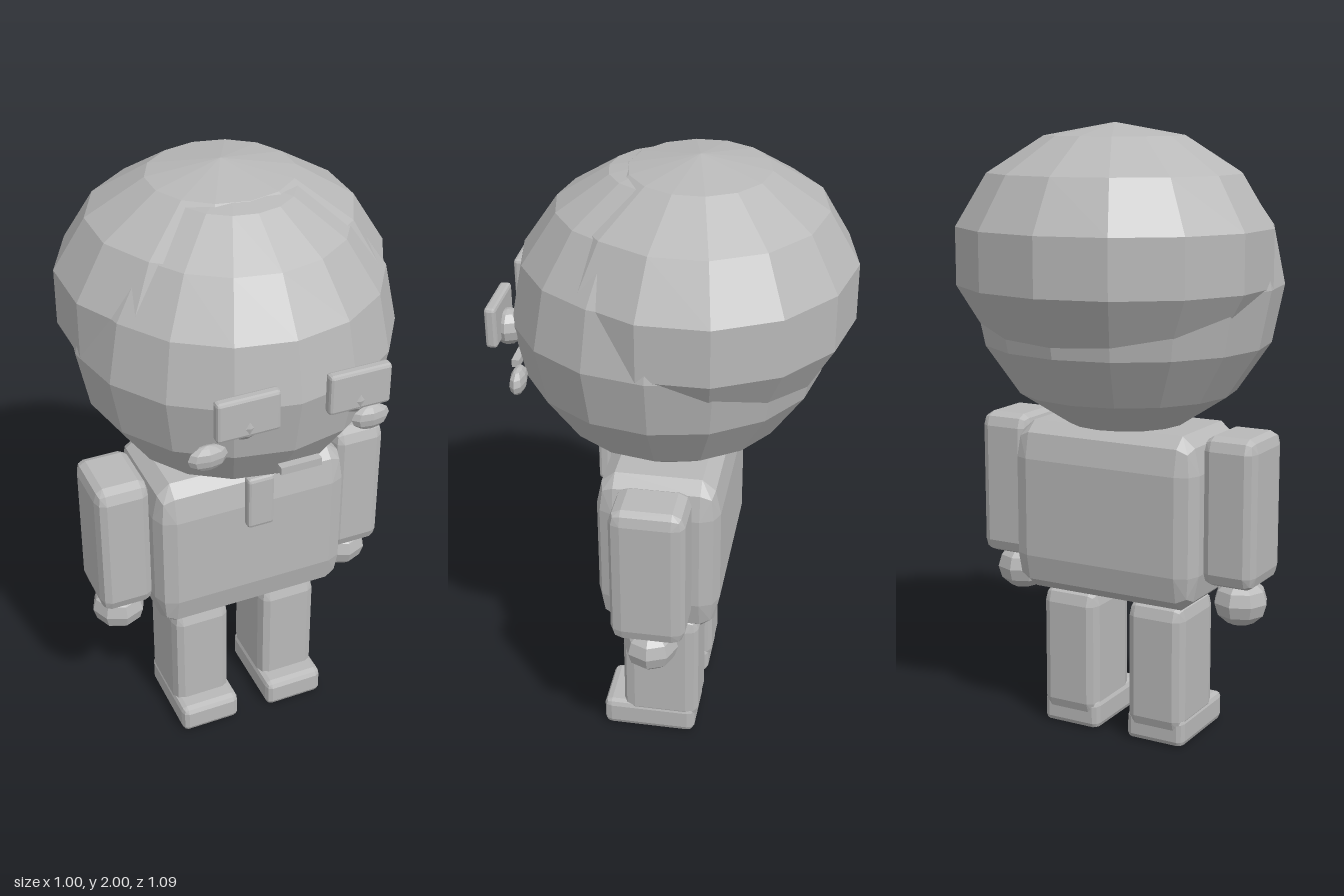
import * as THREE from 'three';
import { ConvexGeometry } from 'three/addons/geometries/ConvexGeometry.js';

const grey = new THREE.MeshStandardMaterial({ color: 0xb8b8b8 });
grey.name = 'plain grey';

// Box spanning min..max on each axis, edges rounded in two flat steps
// by a separate radius per axis.
function softBox([x0, x1], [y0, y1], [z0, z1], [rx, ry, rz]) {
  const h = [(x1 - x0) / 2, (y1 - y0) / 2, (z1 - z0) / 2];
  const r = [rx, ry, rz];
  const dirs = [[1, 0, 0], [0, 1, 0], [0, 0, 1], [1, 1, 0], [1, 0, 1], [0, 1, 1], [1, 1, 1]];
  const points = [];
  for (const sx of [-1, 1]) for (const sy of [-1, 1]) for (const sz of [-1, 1]) {
    const s = [sx, sy, sz];
    for (const d of dirs) {
      const len = Math.hypot(...d);
      points.push(new THREE.Vector3(...s.map((sign, i) => sign * (h[i] - r[i] + r[i] * d[i] / len))));
    }
  }
  const g = new ConvexGeometry(points);
  g.translate((x0 + x1) / 2, (y0 + y1) / 2, (z0 + z1) / 2);
  return g;
}

// Faceted ellipsoid with one column of corners facing straight back
function ball(center, radii, columns, rows) {
  let g = new THREE.SphereGeometry(1, columns, rows);
  g.rotateY(Math.PI / 2);
  g.scale(...radii);
  g.translate(...center);
  g = g.toNonIndexed();
  g.computeVertexNormals();
  return g;
}

export function createModel() {
  const model = new THREE.Group();
  model.name = 'figure';
  const add = (name, geometry) => {
    const mesh = new THREE.Mesh(geometry, grey);
    mesh.name = name;
    model.add(mesh);
  };

  // Head and hair
  add('head', ball([0, 1.5, 0.015], [0.5, 0.485, 0.5], 16, 8));
  add('hair', ball([0, 1.595, -0.065], [0.52, 0.405, 0.492], 14, 7));
  add('mouth', new THREE.BoxGeometry(0.13, 0.025, 0.025).translate(0, 1.288, 0.512));

  // Torso and tie
  add('torso', softBox([-0.33, 0.33], [0.485, 1.05], [-0.18, 0.215], [0.06, 0.12, 0.06]));
  add('tie', softBox([-0.045, 0.045], [0.87, 1.06], [0.218, 0.257], [0.01, 0.012, 0.01]));

  // Paired parts
  for (const [side, s] of [['left', 1], ['right', -1]]) {
    const span = (a, b) => (s > 0 ? [a, b] : [-b, -a]);
    add(side + 'Lens', softBox(span(0.075, 0.27), [1.45, 1.58], [0.504, 0.54], [0.01, 0.01, 0.01]));
    add(side + 'Eye', ball([s * 0.172, 1.48, 0.493], [0.055, 0.057, 0.052], 8, 6));
    add(side + 'Cheek', ball([s * 0.26, 1.345, 0.447], [0.062, 0.042, 0.025], 8, 6));
    add(side + 'Arm', softBox(span(0.322, 0.5), [0.565, 1.05], [-0.1, 0.137], [0.03, 0.045, 0.04]));
    add(side + 'Hand', ball([s * 0.412, 0.5, 0.02], [0.09, 0.08, 0.088], 8, 6));
    add(side + 'Leg', softBox(span(0.06, 0.26), [0.04, 0.48], [-0.106, 0.148], [0.03, 0.05, 0.04]));
    add(side + 'Foot', softBox(span(0.055, 0.262), [0, 0.1], [-0.096, 0.215], [0.02, 0.02, 0.025]));
  }
  return model;
}
